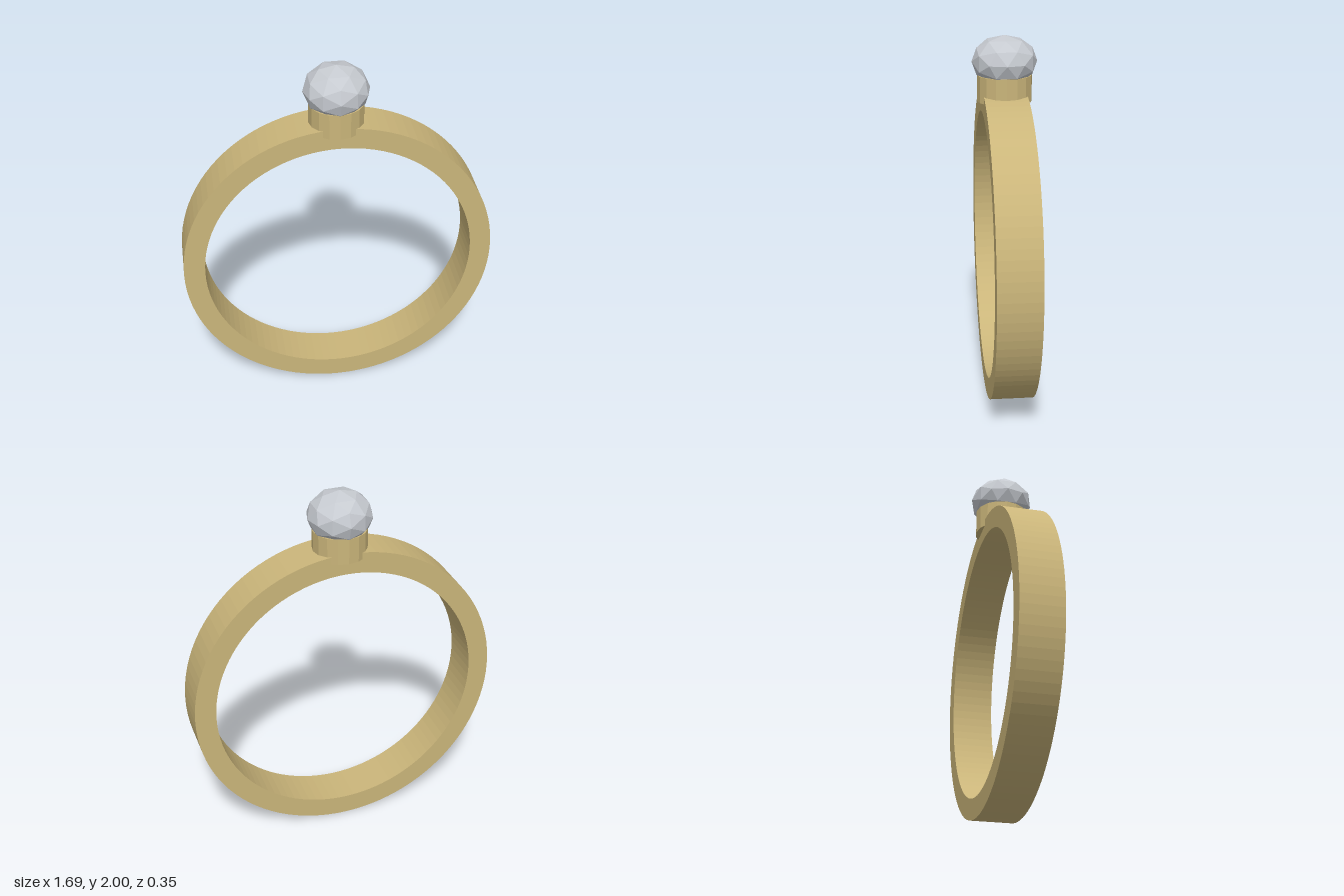
import * as THREE from 'three';

export function createModel() {
  const group = new THREE.Group();
  const gold = new THREE.MeshStandardMaterial({ name: 'gold', color: 0xcab57a });
  const crystal = new THREE.MeshStandardMaterial({ name: 'crystal', color: 0xc6cad0 });
  gold.flatShading = crystal.flatShading = true;

  const add = (name, geometry, material, y) => {
    const mesh = new THREE.Mesh(geometry, material);
    mesh.name = name;
    mesh.position.y = y;
    group.add(mesh);
    return mesh;
  };

  // Band: a flat-sided hoop standing upright
  const outer = 0.847, inner = 0.732, width = 0.23;
  const hoop = new THREE.Shape().absarc(0, 0, outer, 0, Math.PI * 2, false);
  hoop.holes.push(new THREE.Path().absarc(0, 0, inner, 0, Math.PI * 2, true));
  const bandGeometry = new THREE.ExtrudeGeometry(hoop, {
    depth: width, bevelEnabled: false, curveSegments: 50,
  });
  bandGeometry.translate(0, 0, -width / 2);
  add('band', bandGeometry, gold, outer);

  // Setting: a short faceted collar sunk into the top of the band
  add('setting', new THREE.CylinderGeometry(0.145, 0.145, 0.14, 16), gold, 1.722);

  // Stone: a slightly squashed faceted ball
  const stone = add('stone', new THREE.IcosahedronGeometry(0.173, 1), crystal, 1.863);
  stone.scale.y = 0.137 / 0.173;

  return group;
}
